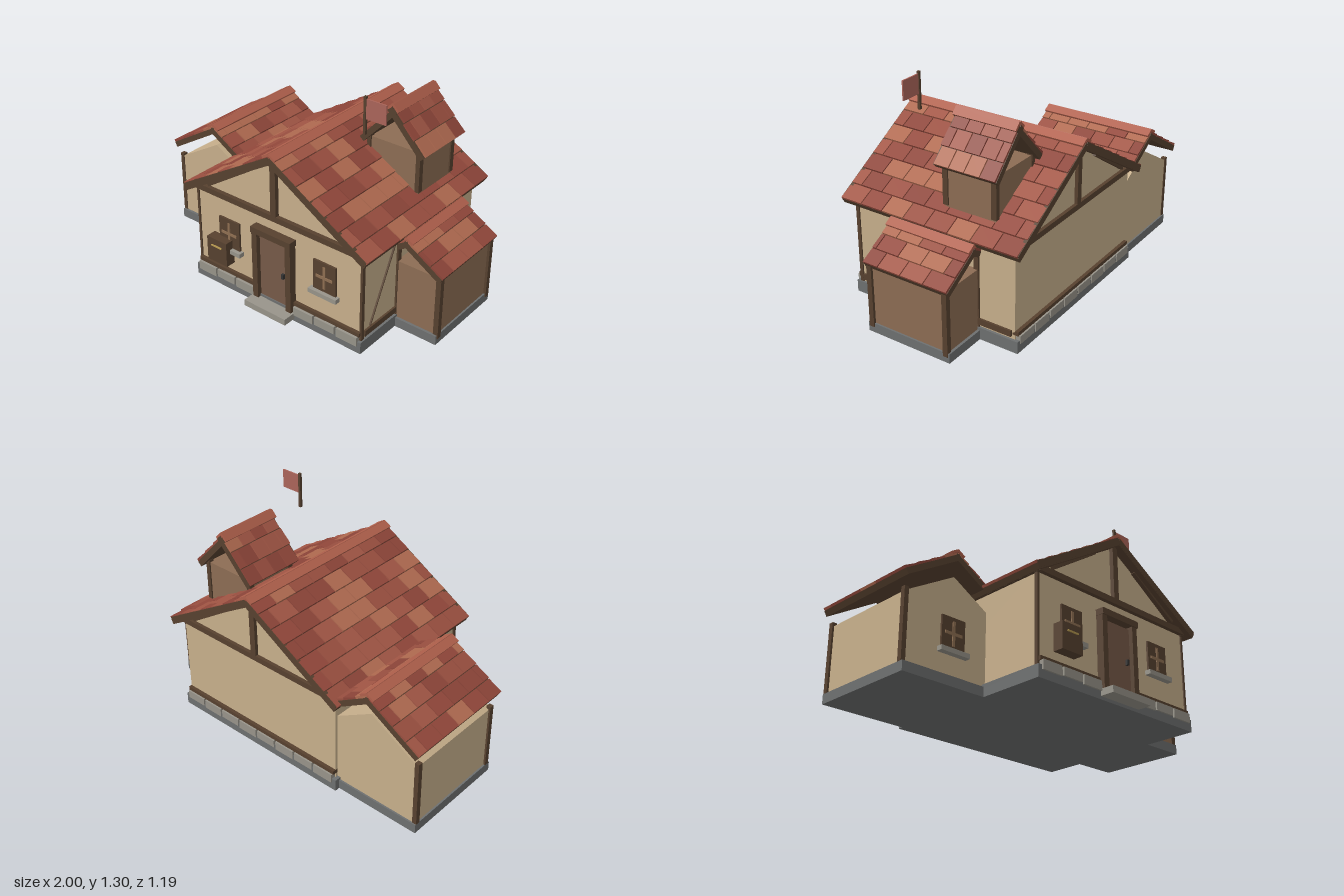
import * as THREE from 'three';

const mat = (color) => new THREE.MeshStandardMaterial({ color, flatShading: true });
const M = {
  plaster: mat(0xc8b08c), wood: mat(0x57412f), plank: mat(0x8d6d54), door: mat(0x775a48),
  base: mat(0x6e7070), stone: mat(0x98948a), bar: mat(0x8f6f52), flag: mat(0xab655a),
  brass: mat(0xb89a50), iron: mat(0x333333),
};
const tileMats = [0x93483b, 0x9a4f40, 0xa25645, 0x8d4539, 0xb06a50].map(mat);
const ridgeMat = mat(0xb0604c);

let seed = 7;
const rand = () => (seed = (seed * 16807) % 2147483647) / 2147483647;

// Box given by its extents on each axis
function box(parent, name, m, x0, x1, y0, y1, z0, z1) {
  const b = new THREE.Mesh(new THREE.BoxGeometry(x1 - x0, y1 - y0, z1 - z0), m);
  b.position.set((x0 + x1) / 2, (y0 + y1) / 2, (z0 + z1) / 2);
  b.name = name;
  parent.add(b);
  return b;
}

// Beam between two points of a plane facing z
function beam(parent, name, x0, y0, x1, y1, width, z0, z1) {
  const len = Math.hypot(x1 - x0, y1 - y0);
  const b = box(parent, name, M.wood, -len / 2, len / 2, -width / 2, width / 2, z0, z1);
  b.position.set((x0 + x1) / 2, (y0 + y1) / 2, (z0 + z1) / 2);
  b.rotation.z = Math.atan2(y1 - y0, x1 - x0);
}

// Solid house body with a gable outline
function gableBody(parent, name, m, points, z0, z1) {
  const shape = new THREE.Shape(points.map((p) => new THREE.Vector2(p[0], p[1])));
  const g = new THREE.ExtrudeGeometry(shape, { depth: z1 - z0, bevelEnabled: false });
  const b = new THREE.Mesh(g, m);
  b.position.z = z0;
  b.name = name;
  parent.add(b);
}

// Pitched roof: boards covered with staggered rows of tiles, and a ridge cap
function roof(parent, name, { x, y, z0, z1, angle, runs, rows, tile }) {
  const g = new THREE.Group();
  g.name = name;
  g.position.set(x, y, 0);
  runs.forEach((run, i) => {
    const s = i ? 1 : -1;
    const side = new THREE.Group();
    side.name = i ? 'leftSlope' : 'rightSlope';
    side.rotation.z = -s * angle;
    const len = run / Math.cos(angle);
    const span = (a, b) => (s > 0 ? [a, b] : [-b, -a]);
    box(side, 'roofBoards', M.wood, ...span(0, len), -0.045, -0.012, z0, z1);
    const n = Math.max(1, Math.round(rows * len / (Math.max(...runs) / Math.cos(angle))));
    const step = len / n;
    for (let r = 0; r < n; r++) {
      // odd rows are shifted by half a tile
      for (let z = z0 - (r % 2) * tile / 2; z < z1 - 0.01; z += tile) {
        const a = Math.max(z, z0) + 0.003, b = Math.min(z + tile, z1) - 0.003;
        if (b - a < 0.01) continue;
        const t = box(side, 'roofTile', tileMats[Math.floor(rand() * tileMats.length)],
          ...span(r * step + 0.004, (r + 1) * step), -0.014, 0, a, b);
        t.rotation.z = s * 0.06;
      }
    }
    box(side, 'ridgeCap', ridgeMat, ...span(-0.006, 0.045), 0, 0.014, z0, z1);
    g.add(side);
  });
  parent.add(g);
}

// Window with glazing bars and a stone sill
function makeWindow(parent, x, y, z) {
  const w = new THREE.Group();
  w.name = 'window';
  w.position.set(x, y, z);
  box(w, 'windowFrame', M.wood, -0.075, 0.075, -0.09, 0.09, -0.01, 0.012);
  box(w, 'glazingBar', M.bar, -0.008, 0.008, -0.068, 0.068, 0.01, 0.017);
  box(w, 'glazingBar', M.bar, -0.055, 0.055, -0.008, 0.008, 0.01, 0.017);
  box(w, 'windowSill', M.stone, -0.093, 0.093, -0.113, -0.087, -0.01, 0.035);
  parent.add(w);
}

// Row of foundation stones
function stones(parent, x0, x1, count, z0, z1) {
  const step = (x1 - x0) / count;
  for (let i = 0; i < count; i++) {
    box(parent, 'foundationStone', M.stone, x0 + i * step + 0.006, x0 + (i + 1) * step - 0.006,
      0.045 + 0.006 * (i % 2), 0.098, z0, z1);
  }
}

export function createModel() {
  const house = new THREE.Group();
  house.name = 'house';

  // Foundations
  box(house, 'mainFoundation', M.base, -0.46, 0.72, 0, 0.07, -0.56, 0.515);
  box(house, 'rightWingFoundation', M.base, -0.975, -0.44, 0, 0.055, -0.53, 0.125);
  box(house, 'leftWingFoundation', M.base, 0.7, 0.98, 0, 0.055, -0.325, 0.205);

  // Main hall
  gableBody(house, 'mainWalls', M.plaster,
    [[-0.44, 0.06], [0.705, 0.06], [0.705, 0.6], [0.135, 0.945], [-0.44, 0.6]], -0.535, 0.49);
  roof(house, 'mainRoof', { x: 0.135, y: 0.98, z0: -0.59, z1: 0.545, angle: 0.54, runs: [0.635, 0.635], rows: 7, tile: 0.142 });

  // Gable timbers at both ends
  for (const [z0, z1] of [[0.485, 0.515], [-0.555, -0.53]]) {
    box(house, 'gablePost', M.wood, 0.115, 0.152, 0.6, 0.95, z0, z1);
    box(house, 'gableBeam', M.wood, -0.445, 0.712, 0.578, 0.612, z0, z1);
    for (const s of [-1, 1]) {
      beam(house, 'gableBrace', 0.135 + s * 0.48, 0.635, 0.135 + s * 0.165, 0.84, 0.032, z0, z1);
    }
  }
  for (const [z0, z1] of [[0.525, 0.546], [-0.591, -0.57]]) {
    for (const s of [-1, 1]) beam(house, 'bargeBoard', 0.135 + s * 0.62, 0.585, 0.135, 0.955, 0.036, z0, z1);
  }
  for (const x of [-0.44, 0.705]) {
    box(house, 'wallPlate', M.wood, x - 0.012, x + 0.012, 0.575, 0.605, -0.545, 0.505);
    box(house, 'cornerPost', M.wood, x - 0.007, x + 0.007, 0.07, 0.59, 0.475, 0.497);
  }
  box(house, 'sideBeam', M.wood, 0.7, 0.717, 0.085, 0.12, 0.19, 0.47);
  box(house, 'sideBeam', M.wood, 0.7, 0.717, 0.085, 0.12, -0.515, -0.31);
  const brace = box(house, 'sideBrace', M.wood, 0.695, 0.715, -0.25, 0.25, -0.003, 0.003);
  brace.position.set(0.705, 0.35, 0.31);
  brace.rotation.x = -0.464;

  // Plinth stones and sill beams
  stones(house, -0.44, -0.01, 3, 0.48, 0.525);
  stones(house, 0.265, 0.705, 3, 0.48, 0.525);
  stones(house, -0.44, 0.705, 8, -0.565, -0.52);
  box(house, 'sillBeam', M.wood, -0.44, -0.01, 0.096, 0.12, 0.48, 0.51);
  box(house, 'sillBeam', M.wood, 0.265, 0.705, 0.096, 0.12, 0.48, 0.51);
  box(house, 'sillBeam', M.wood, -0.44, 0.705, 0.096, 0.12, -0.555, -0.52);

  // Door
  box(house, 'door', M.door, 0.03, 0.235, 0.05, 0.46, 0.48, 0.51);
  for (const x of [0.01, 0.245]) box(house, 'doorPost', M.wood, x - 0.018, x + 0.018, 0.055, 0.48, 0.48, 0.535);
  box(house, 'doorLintel', M.wood, -0.01, 0.268, 0.472, 0.508, 0.48, 0.542);
  box(house, 'doorHandle', M.iron, 0.19, 0.205, 0.245, 0.275, 0.505, 0.525);
  box(house, 'doorStep', M.stone, -0.017, 0.275, 0.018, 0.056, 0.5, 0.598);

  makeWindow(house, -0.205, 0.36, 0.49);
  makeWindow(house, 0.468, 0.36, 0.49);
  makeWindow(house, -0.665, 0.28, 0.11);

  // Letter box on the front wall
  box(house, 'letterBox', M.wood, -0.33, -0.185, 0.175, 0.325, 0.49, 0.553);
  box(house, 'letterBoxSlot', M.brass, -0.295, -0.22, 0.277, 0.285, 0.55, 0.56);

  // Right wing with its gable
  gableBody(house, 'rightWingWalls', M.plaster,
    [[-0.965, 0.05], [-0.44, 0.05], [-0.44, 0.475], [-0.665, 0.605], [-0.965, 0.43]], -0.52, 0.11);
  for (const z of [-0.51, 0.1]) box(house, 'rightWingPost', M.wood, -0.976, -0.95, 0.055, 0.45, z - 0.014, z + 0.014);
  roof(house, 'rightWingRoof', { x: -0.665, y: 0.74, z0: -0.56, z1: 0.14, angle: 0.54, runs: [0.335, 0.23], rows: 4, tile: 0.13 });

  // Left wing, a timber shed
  box(house, 'leftWingWalls', M.plank, 0.7, 0.97, 0.05, 0.41, -0.31, 0.19);
  for (const z of [-0.302, 0.18]) {
    box(house, 'leftWingPost', M.wood, 0.955, 0.985, 0.035, 0.435, z - 0.015, z + 0.015);
    box(house, 'leftWingPost', M.wood, 0.7, 0.716, 0.055, 0.54, z - 0.015, z + 0.015);
  }
  roof(house, 'leftWingRoof', { x: 0.765, y: 0.57, z0: -0.33, z1: 0.205, angle: 0.55, runs: [0.065, 0.235], rows: 3, tile: 0.145 });

  // Dormer on the left slope
  box(house, 'dormerWalls', M.plank, 0.325, 0.648, 0.62, 0.92, -0.38, -0.065);
  for (const x of [0.323, 0.643]) {
    for (const z of [-0.372, -0.072]) {
      box(house, 'dormerPost', M.wood, x - 0.013, x + 0.013, 0.685, 0.935, z - 0.016, z + 0.016);
    }
  }
  roof(house, 'dormerRoof', { x: 0.488, y: 1.155, z0: -0.415, z1: -0.03, angle: 0.82, runs: [0.215, 0.215], rows: 3, tile: 0.094 });

  // Flag above the roof
  box(house, 'flagPole', M.wood, 0.483, 0.498, 1.09, 1.3, 0.202, 0.217);
  box(house, 'flag', M.flag, 0.498, 0.62, 1.177, 1.287, 0.206, 0.214);

  return house;
}
